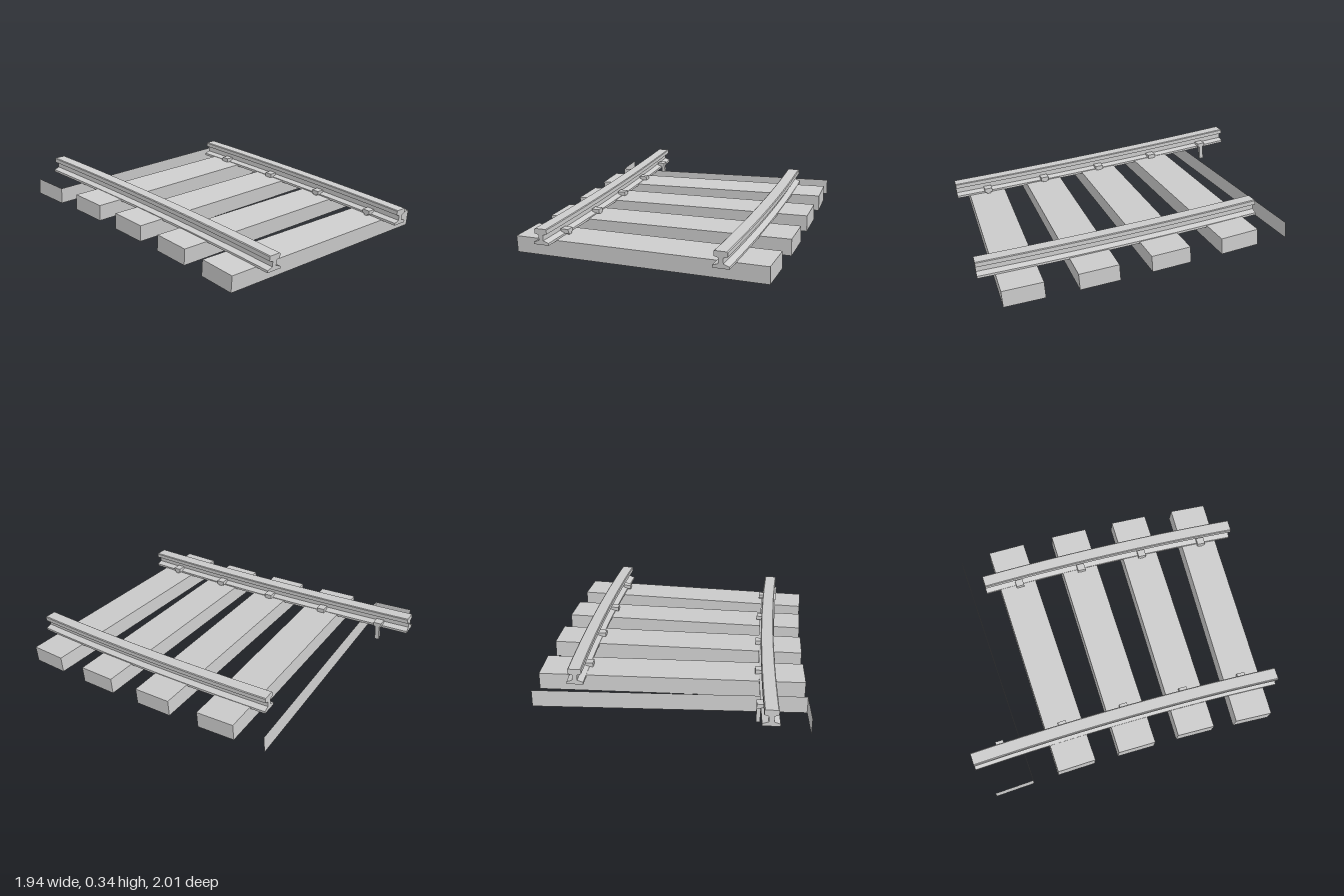
import * as THREE from 'three';

const V = (x, y, z) => new THREE.Vector3(x, y, z);
const UP = V(0, 1, 0);
const PITCH = 0.08; // the track climbs towards the back
const LENGTH = 1.535, HEIGHT = 0.1, DEPTH = 0.235;

const grey = new THREE.MeshStandardMaterial({ color: 0xcccccc, flatShading: true });
const thin = new THREE.MeshStandardMaterial({ color: 0xcccccc, flatShading: true, side: THREE.DoubleSide });

function part(name, geometry, material = grey) {
  const mesh = new THREE.Mesh(geometry, material);
  mesh.name = name;
  return mesh;
}

// Tilt an object to follow the curve and the slope
function lay(object, x, y, z, yawDegrees) {
  object.position.set(x, y, z);
  object.rotation.set(PITCH, THREE.MathUtils.degToRad(yawDegrees), 0, 'YXZ');
  return object;
}

// Right half of the rail section, mirrored to make the I shape
function railShape() {
  const half = [
    [0.048, 0], [0.048, 0.014], [0.014, 0.026], [0.014, 0.058],
    [0.039, 0.066], [0.039, 0.091], [0.034, 0.095],
  ];
  const mirrored = half.map(([x, y]) => [-x, y]).reverse();
  return new THREE.Shape([...half, ...mirrored].map(([x, y]) => new THREE.Vector2(x, y)));
}

// Curve through far end, middle and near end
function railCurve(far, middle, near) {
  const control = middle.clone().multiplyScalar(2).sub(far.clone().add(near).multiplyScalar(0.5));
  return new THREE.QuadraticBezierCurve3(far, control, near);
}

function frameAt(curve, t) {
  const forward = curve.getTangent(t);
  const side = UP.clone().cross(forward).normalize();
  const up = forward.clone().cross(side);
  return new THREE.Matrix4().makeBasis(side, up, forward).setPosition(curve.getPoint(t));
}

// Straight extrusion bent along the curve
function railGeometry(curve) {
  const geometry = new THREE.ExtrudeGeometry(railShape(), { depth: 1, steps: 12, bevelEnabled: false });
  const p = geometry.attributes.position;
  for (let i = 0; i < p.count; i++) {
    const v = V(p.getX(i), p.getY(i), 0).applyMatrix4(frameAt(curve, p.getZ(i)));
    p.setXYZ(i, v.x, v.y, v.z);
  }
  geometry.computeVertexNormals();
  return geometry;
}

// Spike with a head gripping the rail foot and a shaft in the sleeper
function spike(inner) {
  const group = new THREE.Group();
  group.name = 'spike';
  const head = part('spikeHead', new THREE.BoxGeometry(0.05, 0.025, 0.05));
  head.position.set(inner * 0.045, 0.025, 0);
  const shaft = part('spikeShaft', new THREE.BoxGeometry(0.022, 0.1, 0.025));
  shaft.position.set(inner * 0.059, -0.03, 0);
  group.add(head, shaft);
  return group;
}

function rail(name, curve, inner, spikeDepths) {
  const group = new THREE.Group();
  group.name = name;
  group.add(part('railBar', railGeometry(curve)));
  for (const z of spikeDepths) {
    const t = (z - curve.v0.z) / (curve.v2.z - curve.v0.z);
    const s = spike(inner);
    s.applyMatrix4(frameAt(curve, t));
    group.add(s);
  }
  return group;
}

export function createModel() {
  const model = new THREE.Group();
  model.name = 'curvedTrack';

  // Sleepers fanned around the curve: x, y, z, yaw
  const sleepers = [
    [0.19, 0.06, 0.685, 10.9],
    [0.11, 0.094, 0.29, 12.5],
    [0.015, 0.128, -0.103, 14],
    [-0.09, 0.16, -0.497, 15.7],
  ];
  for (const place of sleepers) {
    model.add(lay(part('sleeper', new THREE.BoxGeometry(LENGTH, HEIGHT, DEPTH)), ...place));
  }

  // Open last sleeper: only its front face and one end
  const shell = new THREE.Group();
  shell.name = 'openSleeper';
  const end = part('openSleeperEnd', new THREE.PlaneGeometry(DEPTH, HEIGHT), thin);
  end.rotation.y = -Math.PI / 2;
  end.position.set(-LENGTH / 2, 0, -DEPTH / 2);
  shell.add(part('openSleeperFace', new THREE.PlaneGeometry(LENGTH, HEIGHT), thin), end);
  model.add(lay(shell, -0.17, 0.176, -0.775, 17));

  // Rails, with spikes along their inner sides
  const rightCurve = railCurve(V(-0.782, 0.244, -0.903), V(-0.518, 0.167, 0.045), V(-0.307, 0.091, 0.988));
  const leftCurve = railCurve(V(0.373, 0.214, -0.842), V(0.587, 0.152, -0.02), V(0.757, 0.091, 0.8));
  model.add(rail('rightRail', rightCurve, 1, [-0.73, -0.355, 0.025, 0.405, 0.785]));
  model.add(rail('leftRail', leftCurve, -1, [-0.63, -0.225, 0.185, 0.595]));

  return model;
}
